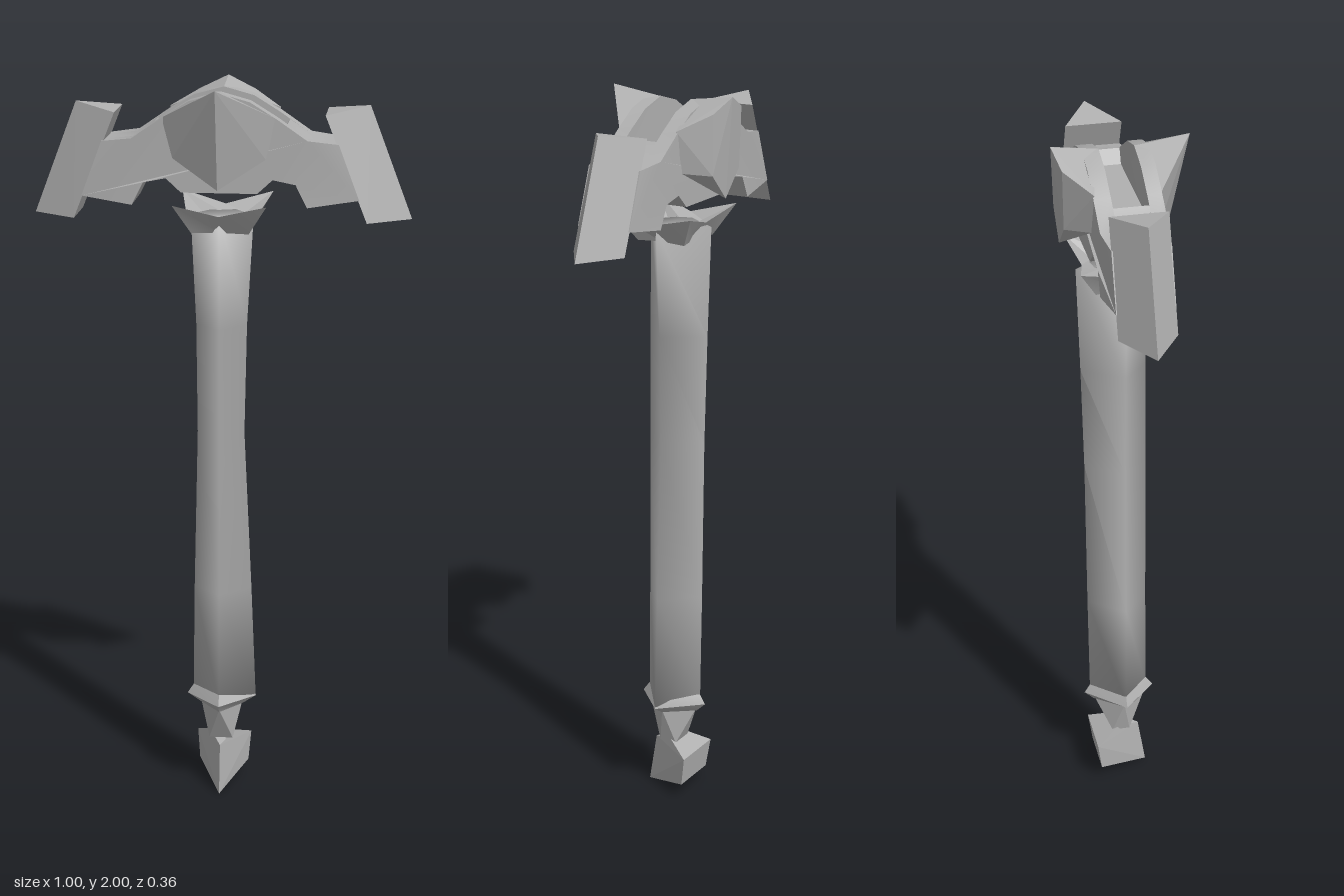
import * as THREE from 'three';
import { toCreasedNormals } from 'three/addons/utils/BufferGeometryUtils.js';
import { ConvexGeometry } from 'three/addons/geometries/ConvexGeometry.js';

const steel = new THREE.MeshStandardMaterial({ color: 0xb0b0b0 });
steel.name = 'grey steel';

function part(name, geometry) {
  const mesh = new THREE.Mesh(geometry, steel);
  mesh.name = name;
  return mesh;
}

// Convex solid; points with x > 0 are mirrored to -x when asked
function hull(points, mirror = true) {
  const list = [];
  for (const [x, y, z] of points) {
    list.push(new THREE.Vector3(x, y, z));
    if (mirror && x !== 0) list.push(new THREE.Vector3(-x, y, z));
  }
  return new ConvexGeometry(list);
}

// Corner directions of the sections: a diamond, and a square with pinched sides
const diamond = [[1, 0], [0, 1], [-1, 0], [0, -1]];
const square = [[0.8, 0], [1, 1], [0, 0.8], [-1, 1], [-0.8, 0], [-1, -1], [0, -0.8], [1, -1]];

// Closed loft through rings [y, xMin, xMax, zMin, zMax, dip of the pinched sides]
function loft(rings, section, crease) {
  const pos = [], idx = [], sides = section.length;
  for (const [y, x0, x1, z0, z1, dip = 0] of rings) {
    for (const [u, v] of section) {
      pos.push(u > 0 ? u * x1 : -u * x0, u * v === 0 ? y - dip : y, v > 0 ? v * z1 : -v * z0);
    }
  }
  const last = (rings.length - 1) * sides;
  for (let i = 0; i < last; i += sides) {
    for (let j = 0; j < sides; j++) {
      const k = (j + 1) % sides;
      idx.push(i + j, i + sides + j, i + sides + k, i + j, i + sides + k, i + k);
    }
  }
  for (let j = 1; j < sides - 1; j++) {
    idx.push(0, j, j + 1, last, last + j + 1, last + j);
  }
  const g = new THREE.BufferGeometry();
  g.setAttribute('position', new THREE.Float32BufferAttribute(pos, 3));
  g.setIndex(idx);
  return toCreasedNormals(g, crease);
}

// Layer of the head: half outline mirrored, extruded from z0 to z1, thinner at the ends
function headLayer(half, z0, z1) {
  const left = half.filter(p => p[0] > 0).reverse().map(([x, y]) => [-x, y]);
  const shape = new THREE.Shape([...half, ...left].map(p => new THREE.Vector2(...p)));
  const g = new THREE.ExtrudeGeometry(shape, { depth: z1 - z0, bevelEnabled: false });
  g.translate(0, 0, z0);
  const p = g.attributes.position;
  for (let i = 0; i < p.count; i++) {
    if (Math.abs(p.getX(i)) > 0.25) p.setZ(i, -0.013 + (p.getZ(i) + 0.013) * 0.87);
  }
  return toCreasedNormals(g, 0.5);
}

export function createModel() {
  const model = new THREE.Group();
  model.name = 'warHammer';

  // Head body: two arched walls with a recessed slot between them
  const under = [[0.1, 1.72], [0.14, 1.757], [0.2, 1.745], [0.23, 1.685], [0.365, 1.705], [0.31, 1.85], [0.23, 1.86]];
  const wall = [...under, [0.15, 1.915], [0.08, 1.958], [0, 1.98]];
  const core = [...under, [0.175, 1.897], [0.155, 1.86]];
  const head = new THREE.Group();
  head.name = 'head';
  head.add(
    part('frontWall', headLayer(wall, 0.035, 0.073)),
    part('slotCore', headLayer(core, -0.056, 0.035)),
    part('backWall', headLayer(wall, -0.1, -0.056)));

  // Slanted wedge blades at both ends
  for (const s of [1, -1]) {
    const blade = hull([
      [s * 0.275, 1.925, -0.088], [s * 0.275, 1.925, 0.062], [s * 0.388, 1.943, -0.015],
      [s * 0.386, 1.645, -0.088], [s * 0.386, 1.645, 0.062], [s * 0.502, 1.645, -0.015],
    ], false);
    head.add(part(s > 0 ? 'leftBlade' : 'rightBlade', blade));
  }

  // Pointed boss on the front, blunt boss on the back
  head.add(
    part('frontBoss', hull([
      [0, 1.98, 0.04], [0.15, 1.915, 0.07], [0.122, 1.81, 0.073],
      [0, 2, 0.178], [0, 1.735, 0.12],
    ])),
    part('backBoss', hull([
      [0, 1.98, -0.06], [0.148, 1.922, -0.097], [0.122, 1.81, -0.1],
      [0, 1.995, -0.178], [0.075, 1.96, -0.163], [0.07, 1.8, -0.16], [0, 1.73, -0.16],
    ])));
  model.add(head);

  // Waisted handle with a diamond section
  model.add(part('handle', loft([
    [0.28, -0.08, 0.096, -0.09, 0.075],
    [0.6, -0.076, 0.083, -0.095, 0.072],
    [1.05, -0.066, 0.062, -0.1, 0.07],
    [1.35, -0.069, 0.068, -0.108, 0.068],
    [1.65, -0.083, 0.085, -0.118, 0.066],
  ], diamond, 2)));

  // Flared upper collar with four raised corners and a hollow top
  model.add(part('upperCollar', loft([
    [1.61, -0.075, 0.077, -0.08, 0.06],
    [1.692, -0.12, 0.127, -0.127, 0.11, 0.032],
    [1.645, -0.06, 0.06, -0.065, 0.05],
  ], square, 0.3)));

  // Lower collar ring
  model.add(part('lowerCollar', loft([
    [0.25, -0.06, 0.06, -0.08, 0.072],
    [0.275, -0.097, 0.097, -0.106, 0.095],
    [0.305, -0.078, 0.088, -0.088, 0.073],
  ], diamond, 0.3)));

  // Neck turning from a diamond above to a square below
  model.add(part('neck', hull([
    [0.058, 0.255, 0], [0, 0.255, 0.07], [0, 0.255, -0.077],
    [0.033, 0.15, 0.02], [0.033, 0.15, -0.03],
  ])));

  // Wedge pommel: edge and low point at the front, flat face at the back
  model.add(part('pommel', hull([
    [0, 0, 0.075], [0, 0.14, 0.052],
    [0.07, 0.045, -0.07], [0.077, 0.128, -0.082],
    [0.035, 0.16, -0.015],
  ])));
  return model;
}
